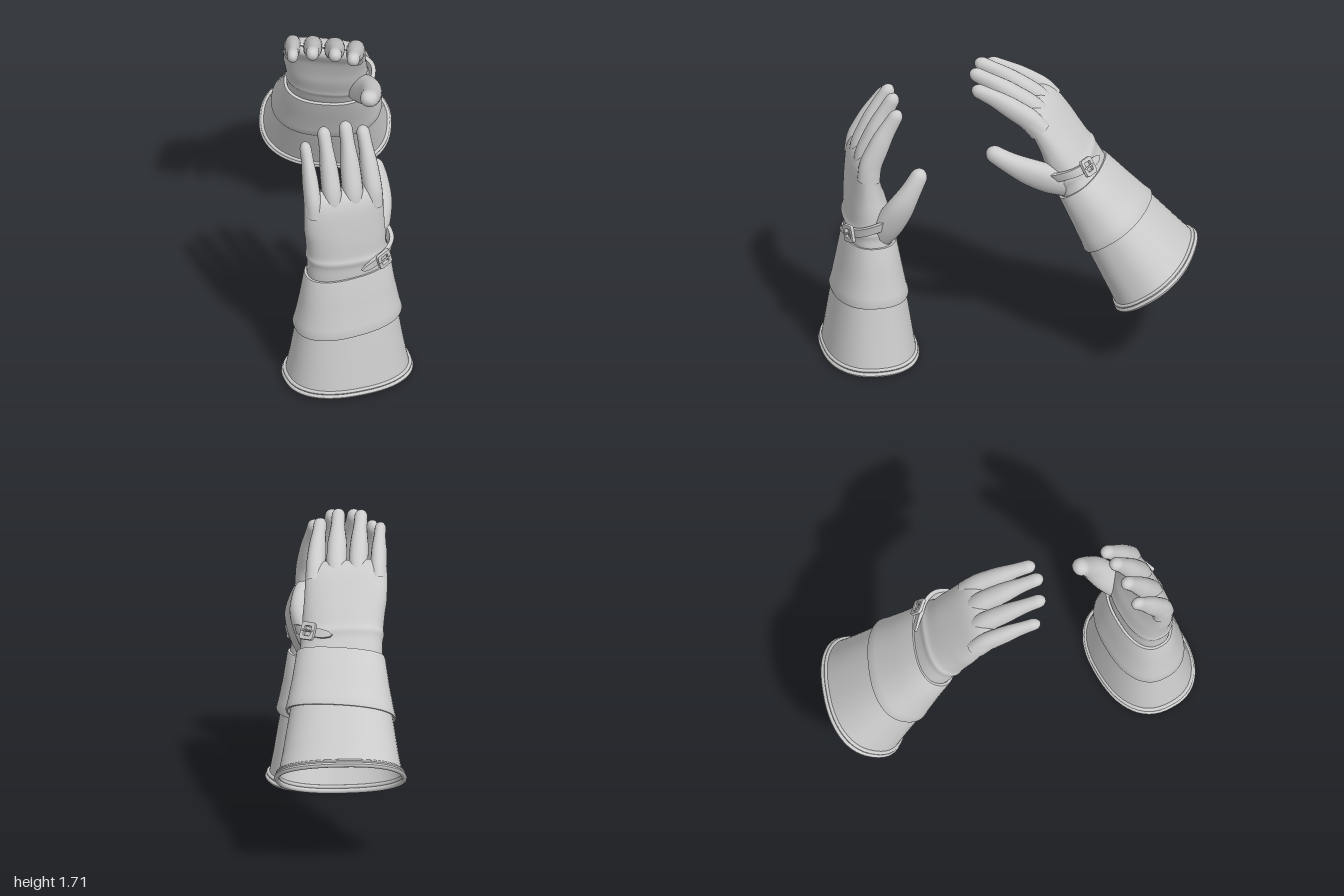
import * as THREE from 'three';
import { toCreasedNormals } from 'three/addons/utils/BufferGeometryUtils.js';

const V = (x, y, z) => new THREE.Vector3(x, y, z);
const material = new THREE.MeshStandardMaterial({ color: 0xcccccc, side: THREE.DoubleSide });

// Skin a list of closed rings (equal point counts) into one surface
function skin(rings) {
  const n = rings[0].length, pos = [], index = [];
  rings.forEach(r => r.forEach(p => pos.push(p.x, p.y, p.z)));
  for (let j = 0; j < rings.length - 1; j++) {
    for (let i = 0; i < n; i++) {
      const a = j * n + i, b = j * n + (i + 1) % n;
      index.push(a, a + n, b, b, a + n, b + n);
    }
  }
  const g = new THREE.BufferGeometry();
  g.setAttribute('position', new THREE.Float32BufferAttribute(pos, 3));
  g.setIndex(index);
  g.computeVertexNormals();
  return g;
}

// Smooth sampling of rows of numbers
function smoothRows(rows, steps) {
  const f = new THREE.CubicInterpolant(rows.map((_, i) => i), rows.flat(), rows[0].length);
  return Array.from({ length: steps + 1 }, (_, i) => Array.from(f.evaluate(i / steps * (rows.length - 1))));
}

// Point on a superellipse
const pw = (v, e) => Math.sign(v) * Math.abs(v) ** (2 / e);
const oval = (t, a, b, e) => [a * pw(Math.cos(t), e), b * pw(Math.sin(t), e)];

// Upright loft, rows of [y, centre x, centre z, half width, half depth, squareness]
function loft(rows, slant = 0, n = 56) {
  return skin(rows.map(([y, cx, cz, a, b, e]) => Array.from({ length: n }, (_, i) => {
    const [x, z] = oval(i / n * Math.PI * 2, a, b, e);
    return V(cx + x, y + slant * x, cz + z);
  })));
}

// Round-tipped finger along a path; radii are [across, through]
function digit(points, radii, tip) {
  const curve = new THREE.CatmullRomCurve3(points);
  const k = tip / curve.getLength(), rings = [], n = 20;
  const samples = [];
  for (let i = 0; i <= 18; i++) samples.push([(1 - k) * i / 18, 1]);
  for (let i = 1; i <= 7; i++) {
    const q = i / 7 * Math.PI / 2;
    samples.push([1 - k + k * Math.sin(q), Math.max(Math.cos(q), 0.01)]);
  }
  const widths = new THREE.CubicInterpolant(radii.map((_, i) => i / (radii.length - 1)), radii.flat(), 2);
  for (const [t, s] of samples) {
    const c = curve.getPointAt(t), dir = curve.getTangentAt(t);
    const side = V(1, 0, 0).addScaledVector(dir, -dir.x).normalize();
    const through = side.clone().cross(dir);
    const [a, b] = Array.from(widths.evaluate(t));
    rings.push(Array.from({ length: n }, (_, i) => {
      const [u, v] = oval(i / n * Math.PI * 2, a * s, b * s, 2.2);
      return c.clone().addScaledVector(side, u).addScaledVector(through, v);
    }));
  }
  return skin(rings);
}

// Strap path round the back of the wrist
const wrist = (u, lift) => {
  const [x, z] = oval(0.35 - 1.85 * u, 0.228 + lift, 0.128 + lift, 2.4);
  return V(x, 0.87 - 0.1 * u, z - 0.01);
};

function strapGeometry() {
  const rings = [];
  for (let i = 0; i <= 30; i++) {
    const u = i / 30, t = Math.max(0, (u - 0.8) / 0.2);
    const w = 0.028 * Math.sqrt(Math.max(0.001, 1 - t * t));
    const outer = wrist(u, 0.018 + 0.012 * t), inner = wrist(u, -0.004 + 0.02 * t);
    const up = V(0.25, 1, 0).normalize().multiplyScalar(w);
    rings.push([outer.clone().add(up), inner.clone().add(up), inner.clone().sub(up), outer.clone().sub(up)]);
  }
  return toCreasedNormals(skin(rings), 0.7);
}

// Rounded rectangle outline used by the buckle frame
function roundRect(shape, w, h, r) {
  shape.moveTo(-w + r, -h);
  shape.lineTo(w - r, -h).quadraticCurveTo(w, -h, w, -h + r);
  shape.lineTo(w, h - r).quadraticCurveTo(w, h, w - r, h);
  shape.lineTo(-w + r, h).quadraticCurveTo(-w, h, -w, h - r);
  shape.lineTo(-w, -h + r).quadraticCurveTo(-w, -h, -w + r, -h);
  return shape;
}

function buckleMatrix() {
  const p = wrist(0.7, 0.022);
  const along = wrist(0.74, 0.022).sub(wrist(0.66, 0.022)).normalize();
  const out = V(along.z, 0, -along.x).normalize();
  if (out.dot(p) < 0) out.negate();
  const up = out.clone().cross(along).normalize();
  return new THREE.Matrix4().makeBasis(along, up, out).setPosition(p);
}

// One glove, fingers up +y, thumb +x, palm +z (or -z when mirrored)
function makeGlove(name, mirrored) {
  const glove = new THREE.Group();
  glove.name = name;
  const add = (part, g) => {
    if (mirrored) {
      g.scale(1, 1, -1);
      const src = g.index ? Array.from(g.index.array) : Array.from({ length: g.attributes.position.count }, (_, i) => i);
      for (let i = 0; i < src.length; i += 3) [src[i], src[i + 1]] = [src[i + 1], src[i]];
      g.setIndex(src);
    }
    const m = new THREE.Mesh(g, material);
    m.name = part;
    glove.add(m);
  };

  // Flared gauntlet cuff in two overlapping pieces
  add('lowerCuff', loft([
    [0.02, 0, 0, 0.337, 0.247, 2.35], [0.15, 0, 0, 0.312, 0.227, 2.35],
    [0.3, 0, 0, 0.288, 0.204, 2.35], [0.44, 0, 0, 0.265, 0.18, 2.35]]));
  add('upperCuff', toCreasedNormals(loft([
    [0.385, 0, 0, 0.274, 0.182, 2.35], [0.366, 0, 0, 0.287, 0.193, 2.35],
    [0.366, 0, 0, 0.296, 0.203, 2.35], [0.376, 0, 0, 0.298, 0.205, 2.35],
    [0.42, 0, 0, 0.287, 0.193, 2.35], [0.55, 0, 0, 0.262, 0.168, 2.35],
    [0.695, 0, 0, 0.24, 0.141, 2.35], [0.705, 0, 0, 0.236, 0.138, 2.35],
    [0.705, 0, 0, 0.222, 0.124, 2.35], [0.66, 0, 0, 0.222, 0.124, 2.35]], 0.085), 0.7));

  // Double rolled hem at the opening
  [[0.014, 0.343, 0.248, 0.014], [0.035, 0.338, 0.244, 0.011]].forEach(([y, a, b, r], i) => {
    const rows = [];
    for (let k = 0; k <= 10; k++) {
      const q = k / 10 * Math.PI * 2;
      rows.push([y + r * Math.sin(q), 0, 0, a + r * Math.cos(q), b + r * Math.cos(q), 2.35]);
    }
    add(i ? 'hemUpperRoll' : 'hemLowerRoll', loft(rows));
  });

  // Palm with a gathered ridge at the wrist, closed under the fingers
  add('palm', loft(smoothRows([
    [0.62, 0, 0, 0.218, 0.122, 2.35], [0.7, 0, -0.003, 0.224, 0.125, 2.35],
    [0.765, -0.004, -0.008, 0.221, 0.122, 2.4], [0.805, -0.006, -0.01, 0.227, 0.128, 2.4],
    [0.84, -0.01, -0.01, 0.22, 0.119, 2.4], [0.92, -0.016, -0.016, 0.222, 0.108, 2.4],
    [1.0, -0.026, -0.025, 0.224, 0.091, 2.45], [1.1, -0.03, -0.031, 0.222, 0.072, 2.6],
    [1.16, -0.03, -0.025, 0.22, 0.063, 2.8], [1.2, -0.029, -0.016, 0.214, 0.05, 2.8],
    [1.222, -0.028, -0.01, 0.2, 0.026, 2.6], [1.228, -0.028, -0.008, 0.19, 0.002, 2.4]], 60), -0.02));

  // Fingers: [name, base x, tip x, tip y, base half width, tip half width]
  [['indexFinger', 0.139, 0.13, 1.505, 0.051, 0.037],
    ['middleFinger', 0.02, 0.033, 1.555, 0.056, 0.038],
    ['ringFinger', -0.095, -0.09, 1.545, 0.052, 0.037],
    ['littleFinger', -0.206, -0.195, 1.47, 0.044, 0.032]].forEach(([part, x0, x1, top, w0, w1]) => {
    const path = [[0, -0.03], [0.22, -0.019], [0.44, 0.018], [0.66, 0.06], [0.87, 0.11], [1, 0.142]]
      .map(([t, z]) => V(x0 + (x1 - x0) * t, 1.1 + (top - 1.1) * t, z));
    add(part, digit(path, [[w0, 0.062], [w0, 0.061], [w0 * 0.93, 0.056], [w1, 0.045], [w1 * 0.95, 0.036]], 0.045));
  });

  // Thumb
  add('thumb', digit(
    [V(0.13, 0.72, 0.02), V(0.185, 0.84, 0.07), V(0.235, 0.98, 0.135), V(0.24, 1.08, 0.19), V(0.225, 1.185, 0.25)],
    [[0.055, 0.058], [0.066, 0.08], [0.062, 0.076], [0.054, 0.055], [0.046, 0.042]], 0.05));

  // Wrist strap and buckle
  add('wristStrap', strapGeometry());
  const frame = roundRect(new THREE.Shape(), 0.04, 0.046, 0.014);
  frame.holes.push(roundRect(new THREE.Path(), 0.024, 0.03, 0.008));
  const at = buckleMatrix();
  add('buckleFrame', new THREE.ExtrudeGeometry(frame, {
    depth: 0.012, bevelThickness: 0.004, bevelSize: 0.003, bevelSegments: 2, curveSegments: 5
  }).applyMatrix4(at));
  add('bucklePin', new THREE.CapsuleGeometry(0.005, 0.06, 3, 8).rotateZ(Math.PI / 2)
    .translate(0, 0, 0.014).applyMatrix4(at));
  return glove;
}

export function createModel() {
  const model = new THREE.Group();
  model.name = 'gauntletGloves';

  // Upright glove, back of the hand to the front
  const upright = makeGlove('uprightGlove', true);
  upright.position.set(-0.19, 0, 0.74);

  // Leaning glove, palm forward and down
  const leaning = makeGlove('leaningGlove', false);
  const up = V(-0.161, 0.816, 0.546).normalize();
  const palm = V(0.93, -0.07, 0.37).cross(up).normalize();
  const side = up.clone().cross(palm);
  leaning.quaternion.setFromRotationMatrix(new THREE.Matrix4().makeBasis(side, up, palm));
  leaning.position.set(0.19, 0.5, -0.765);

  model.add(upright, leaning);
  return model;
}
